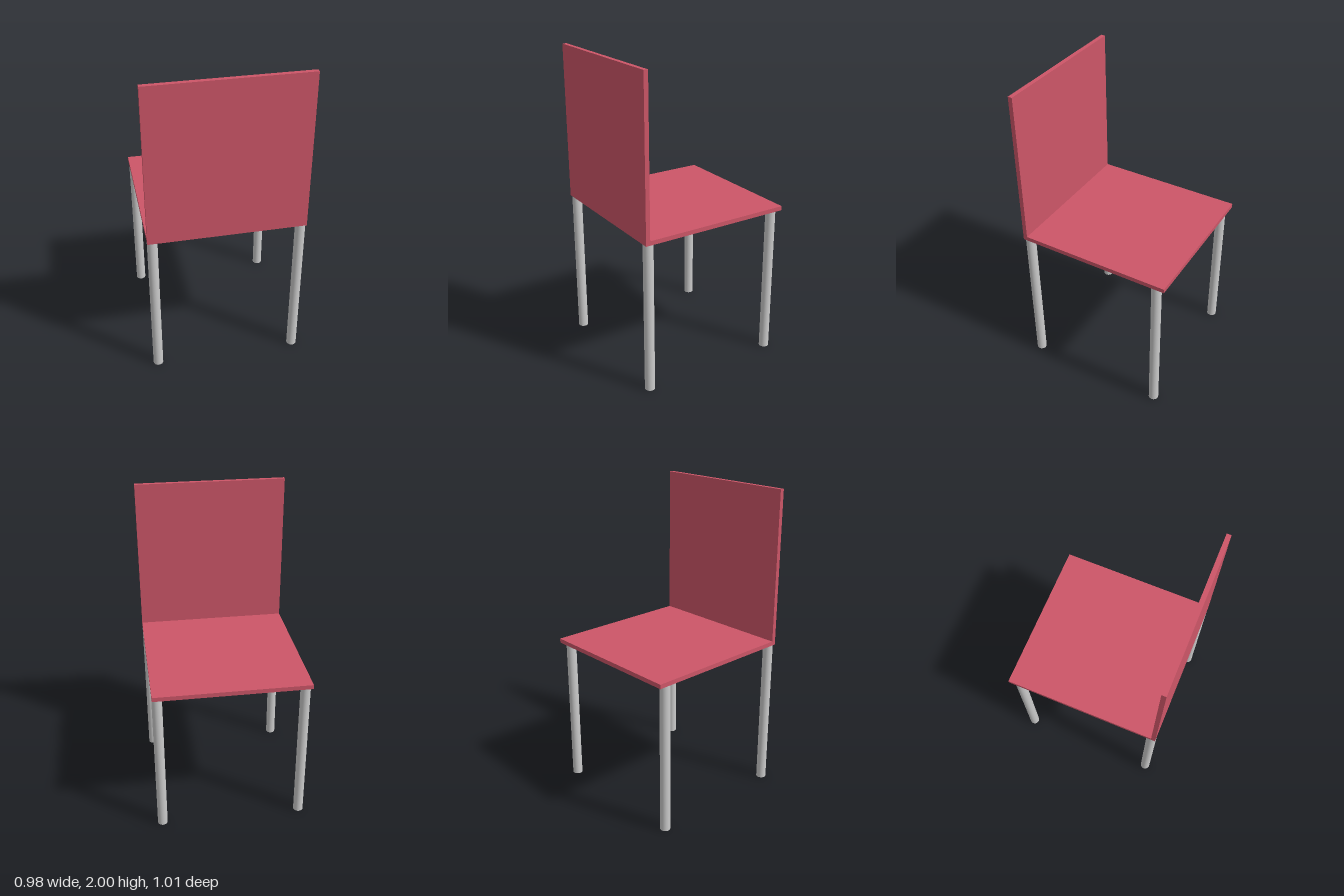
import * as THREE from 'three';

export function createModel() {
  const model = new THREE.Group();
  const red = new THREE.MeshStandardMaterial({ color: 0xcd5668 });
  const grey = new THREE.MeshStandardMaterial({ color: 0xcccccc });

  const add = (name, geometry, material, x, y, z) => {
    const mesh = new THREE.Mesh(geometry, material);
    mesh.name = name;
    mesh.position.set(x, y, z);
    model.add(mesh);
  };

  const width = 0.98, depth = 1.01, thick = 0.028;
  const under = 0.989, top = 2;
  const backZ = depth / 2 - thick / 2;

  // Seat panel, butting against the upright panel
  add('seat', new THREE.BoxGeometry(width, thick, depth - thick), red,
    0, under + thick / 2, -thick / 2);

  // Upright panel at the +z edge, reaching down to the seat's underside
  add('backrest', new THREE.BoxGeometry(width, top - under, thick), red,
    0, (top + under) / 2, backZ);

  // Four round legs; the pair away from the backrest is set in from the edge
  const radius = 0.032;
  const legGeometry = new THREE.CylinderGeometry(radius, radius, under, 32);
  const legX = width / 2 - radius;
  for (const [side, x] of [['left', legX], ['right', -legX]]) {
    add(side + 'BackrestLeg', legGeometry, grey, x, under / 2, depth / 2 - radius);
    add(side + 'SeatEdgeLeg', legGeometry, grey, x, under / 2, -0.44);
  }

  return model;
}
